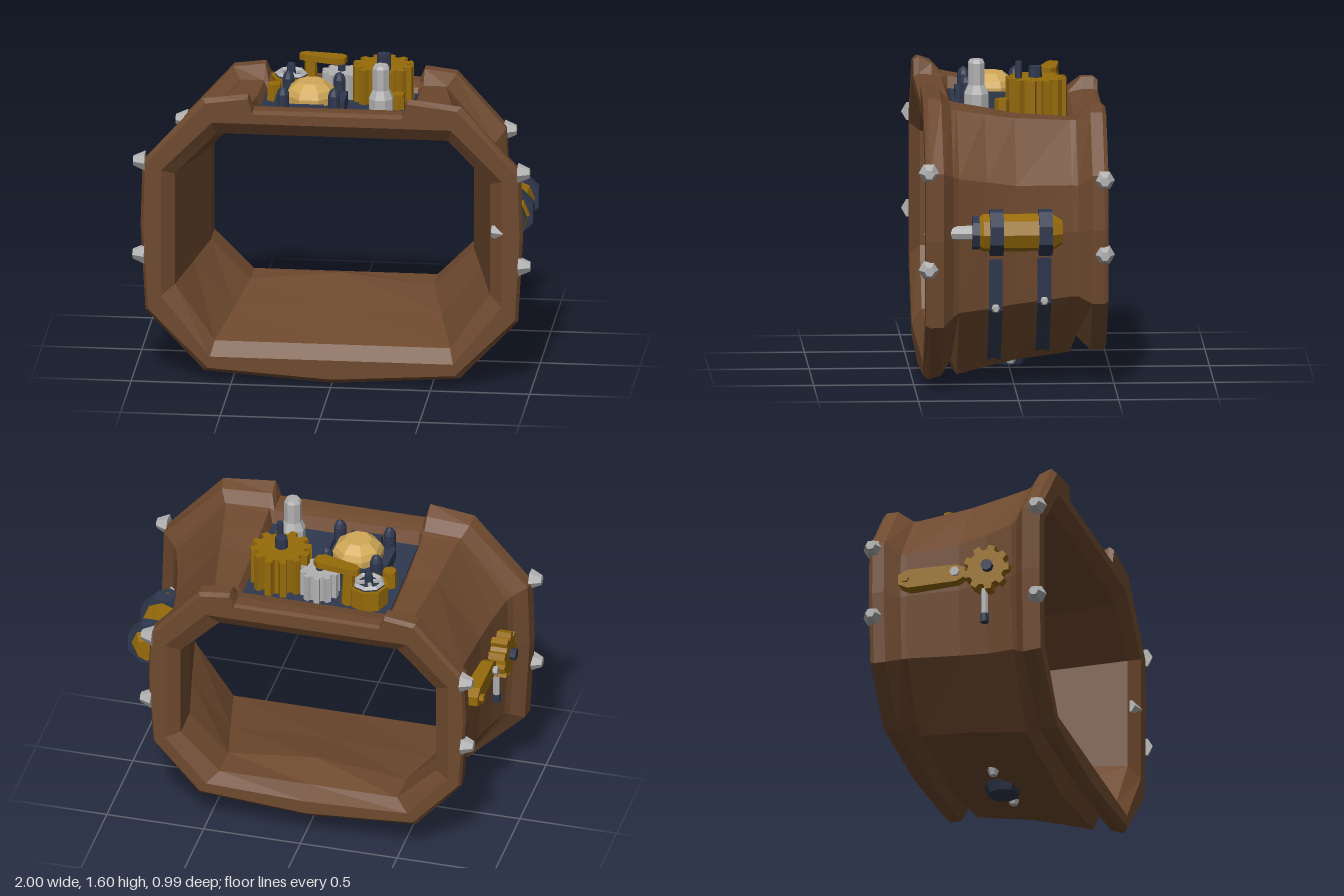
import * as THREE from 'three';

const mat = (name, color) => {
  const m = new THREE.MeshStandardMaterial({ color, flatShading: true });
  m.name = name;
  return m;
};

// Outer shell sections: z, cx, half width, top corner x, notch lip y, top corner y, notch floor y,
// upper side y, lower side y, bottom corner x, bottom corner y, bottom centre y
const OUTER = [
  [0.46, 0, 0.935, 0.63, 1.49, 1.46, 1.41, 1.13, 0.37, 0.62, 0.07, 0.03],
  [0.435, 0, 0.95, 0.65, 1.51, 1.48, 1.425, 1.14, 0.36, 0.64, 0.05, 0.005],
  [0.37, 0, 0.94, 0.64, 1.475, 1.46, 1.42, 1.14, 0.36, 0.63, 0.07, 0.05],
  [0.32, 0, 0.875, 0.61, 1.42, 1.41, 1.41, 1.11, 0.4, 0.59, 0.14, 0.12],
  [0.29, 0, 0.855, 0.6, 1.41, 1.405, 1.338, 1.1, 0.42, 0.6, 0.07, 0.002],
  [0.15, -0.005, 0.815, 0.58, 1.385, 1.38, 1.325, 1.075, 0.43, 0.57, 0.1, 0.03],
  [0, -0.01, 0.785, 0.56, 1.355, 1.355, 1.312, 1.05, 0.45, 0.54, 0.13, 0.06],
  [-0.28, -0.02, 0.755, 0.52, 1.335, 1.335, 1.29, 1.045, 0.48, 0.5, 0.16, 0.1],
  [-0.31, -0.02, 0.755, 0.52, 1.335, 1.335, 1.325, 1.04, 0.48, 0.5, 0.24, 0.22],
  [-0.38, -0.02, 0.81, 0.56, 1.4, 1.38, 1.34, 1.1, 0.45, 0.56, 0.18, 0.14],
  [-0.44, -0.02, 0.81, 0.56, 1.4, 1.38, 1.34, 1.1, 0.45, 0.56, 0.18, 0.14],
  [-0.46, -0.02, 0.8, 0.55, 1.385, 1.365, 1.33, 1.09, 0.46, 0.55, 0.2, 0.16],
];
// Inner sections, back to front, same columns
const INNER = [
  [-0.46, -0.02, 0.73, 0.52, 1.26, 1.26, 1.26, 1.04, 0.49, 0.52, 0.25, 0.23],
  [-0.42, -0.02, 0.66, 0.46, 1.2, 1.2, 1.2, 1.0, 0.51, 0.46, 0.31, 0.31],
  [-0.25, -0.02, 0.66, 0.46, 1.2, 1.2, 1.2, 1.0, 0.51, 0.46, 0.31, 0.36],
  [0.05, -0.01, 0.72, 0.52, 1.24, 1.24, 1.24, 1.03, 0.5, 0.52, 0.26, 0.28],
  [0.41, 0, 0.79, 0.58, 1.29, 1.29, 1.29, 1.07, 0.49, 0.59, 0.2, 0.2],
  [0.46, 0, 0.855, 0.6, 1.36, 1.36, 1.36, 1.1, 0.44, 0.61, 0.13, 0.13],
];

// One clockwise loop of 15 points; bulge pushes the side middle out and tucks its foot in
function sectionLoop([z, cx, w, xt, lip, yt, notch, yu, yl, xb, yb, y0], bulge) {
  const half = [[0.375, notch], [0.4, lip], [xt, yt], [w, yu], [w + bulge, (yu + yl) / 2 + 0.05], [w - bulge * 1.5, yl], [xb, yb]];
  const c = (i) => (i < 2 ? -0.02 : cx);
  const right = half.map(([x, y], i) => [c(i) + x, y, z]);
  const left = half.map(([x, y], i) => [c(i) - x, y, z]).reverse();
  return [...right, [cx, y0, z], ...left];
}

function shellGeometry() {
  const rows = [...OUTER.map((s) => sectionLoop(s, 0.01)), ...INNER.map((s) => sectionLoop(s, 0))];
  const n = rows[0].length, index = [];
  rows.forEach((_, i) => {
    const k = (i + 1) % rows.length;
    for (let j = 0; j < n; j++) {
      const l = (j + 1) % n;
      index.push(i * n + j, i * n + l, k * n + j, i * n + l, k * n + l, k * n + j);
    }
  });
  const g = new THREE.BufferGeometry();
  g.setAttribute('position', new THREE.Float32BufferAttribute(rows.flat(2), 3));
  g.setIndex(index);
  g.computeVertexNormals();
  return g;
}

// Body measurements at any z
function bodyAt(z) {
  const i = OUTER.findIndex((s) => s[0] <= z), a = OUTER[i - 1], b = OUTER[i];
  const t = (z - a[0]) / (b[0] - a[0]);
  return a.map((v, k) => v + (b[k] - v) * t);
}

// Toothed wheel rising along +y
function gearGeometry(r, teeth, depth) {
  const s = new THREE.Shape();
  for (let i = 0; i < teeth; i++) {
    [[0, 0.79], [0.3, 0.79], [0.42, 1], [0.83, 1], [0.95, 0.79]].forEach(([f, q], k) => {
      const a = ((i + f) / teeth) * Math.PI * 2;
      s[i + k ? 'lineTo' : 'moveTo'](Math.cos(a) * r * q, Math.sin(a) * r * q);
    });
  }
  s.closePath();
  return new THREE.ExtrudeGeometry(s, { depth, bevelEnabled: false }).rotateX(-Math.PI / 2);
}

// Tapered lever from the origin along +x, rising along +y
function leverGeometry(len, w0, w1, depth) {
  const pts = [[0, -w0 / 2], [len * 0.85, -w1 / 2], [len, -w1 / 4], [len, w1 / 4], [len * 0.85, w1 / 2], [0, w0 / 2], [-w0 / 2, w0 / 4], [-w0 / 2, -w0 / 4]];
  const s = new THREE.Shape(pts.map((p) => new THREE.Vector2(...p)));
  return new THREE.ExtrudeGeometry(s, { depth, bevelEnabled: false }).rotateX(-Math.PI / 2);
}

const lathe = (pts) => new THREE.LatheGeometry(pts.map((p) => new THREE.Vector2(...p)), 8).rotateY(Math.PI / 8);

export function createModel() {
  const brown = mat('leatherBrown', 0x6e492e), navy = mat('darkSteel', 0x2e374d);
  const gold = mat('brass', 0x966b0a), silver = mat('silver', 0xb2b2b2), tan = mat('paleGold', 0xd0a858);
  const model = new THREE.Group();
  const add = (name, geo, m, x = 0, y = 0, z = 0, parent = model) => {
    const mesh = new THREE.Mesh(geo, m);
    mesh.name = name;
    mesh.position.set(x, y, z);
    parent.add(mesh);
    return mesh;
  };
  const cyl = (rt, rb, h, n = 8) => new THREE.CylinderGeometry(rt, rb, h, n);
  const group = (name, x, y, z) => {
    const g = new THREE.Group();
    g.name = name;
    g.position.set(x, y, z);
    model.add(g);
    return g;
  };

  add('cuffShell', shellGeometry(), brown);
  add('topPlate', new THREE.BoxGeometry(0.755, 0.012, 0.575), navy, -0.02, 1.32, 0.003).rotation.x = -0.085;

  // Rim studs
  const stud = cyl(0.025, 0.052, 0.06, 6).rotateZ(-Math.PI / 2);
  for (const s of [-1, 1]) {
    for (const [x, y, z, cx] of [[0.965, 1.145, 0.445, 0], [0.968, 0.655, 0.445, 0], [0.825, 1.075, -0.44, -0.02], [0.83, 0.7, -0.44, -0.02]]) {
      add('rimStud', stud, silver, cx + s * x, y, z).rotation.y = s < 0 ? Math.PI : 0;
    }
  }
  add('innerRimStud', cyl(0.055, 0.035, 0.06, 6).rotateZ(-Math.PI / 2), silver, 0.83, 0.825, 0.41);

  // Domed lamp with four claws
  const lamp = group('domeLamp', -0.14, 1.325, 0.09);
  add('lampBase', cyl(0.165, 0.175, 0.05).rotateY(Math.PI / 8), navy, 0, 0.025, 0, lamp);
  add('dome', lathe([[0.13, 0], [0.13, 0.085], [0.115, 0.115], [0.068, 0.152], [0, 0.152]]), tan, 0, 0, 0, lamp);
  for (const sx of [-1, 1]) for (const sz of [-1, 1]) {
    const claw = lathe([[0.032, 0], [0.032, 0.12], [0.022, 0.145], [0, 0.16]]);
    add('claw', claw, navy, sx * 0.128, 0, sz * 0.128, lamp);
  }
  for (let i = 0; i < 4; i++) {
    const a = (i * Math.PI) / 2;
    add('baseBar', new THREE.BoxGeometry(0.03, 0.075, 0.16), navy, Math.cos(a) * 0.16, 0.037, Math.sin(a) * 0.16, lamp).rotation.y = -a;
  }

  // Large top gear
  add('largeGear', gearGeometry(0.153, 12, 0.205), gold, 0.2, 1.3, -0.125);
  add('gearHub', cyl(0.032, 0.034, 0.06), navy, 0.2, 1.53, -0.12);
  add('gearPin', cyl(0.018, 0.018, 0.28, 6), navy, 0.23, 1.45, -0.035);

  // Small gear, lever and spoked wheel
  add('smallGear', gearGeometry(0.1, 10, 0.155), silver, -0.015, 1.29, -0.18);
  add('smallGearHub', cyl(0.02, 0.02, 0.18, 6), navy, -0.015, 1.385, -0.18);
  add('topLever', leverGeometry(0.21, 0.06, 0.09, 0.032), gold, -0.2, 1.483, -0.225).rotation.y = -0.2;
  add('leverPost', cyl(0.03, 0.04, 0.19), gold, -0.175, 1.39, -0.222);
  const wheel = group('spokedWheel', -0.27, 1.3, -0.19);
  add('wheelHousing', cyl(0.1, 0.1, 0.11), gold, 0, 0.055, 0, wheel);
  add('wheelWell', cyl(0.082, 0.082, 0.006), navy, 0, 0.112, 0, wheel);
  add('wheelRing', new THREE.TorusGeometry(0.068, 0.014, 4, 8).rotateX(Math.PI / 2), silver, 0, 0.118, 0, wheel);
  for (const a of [0.4, 0.4 + Math.PI / 2]) {
    add('spoke', new THREE.BoxGeometry(0.13, 0.02, 0.018), silver, 0, 0.118, 0, wheel).rotation.y = a;
  }
  add('wheelHub', cyl(0.02, 0.025, 0.07), navy, 0, 0.135, 0, wheel);

  // Hex bolts and silver valve
  for (const [x, z] of [[-0.34, -0.05], [0.29, 0.05]]) add('hexBolt', cyl(0.036, 0.04, 0.09, 6), gold, x, 1.365, z);
  add('valve', lathe([[0.064, 0], [0.064, 0.095], [0.044, 0.14], [0.044, 0.25], [0.034, 0.267], [0, 0.267]]), silver, 0.22, 1.333, 0.175);

  // Side canister, built along z
  const can = group('canister', 0.868, 0.83, 0);
  const ring = (name, r0, r1, z0, z1, m) =>
    add(name, cyl(r1, r0, z1 - z0).rotateX(Math.PI / 2), m, 0, 0, (z0 + z1) / 2, can);
  ring('canisterBody', 0.095, 0.095, -0.17, 0.17, gold);
  ring('canisterEnd', 0.06, 0.095, -0.225, -0.17, gold);
  ring('canisterShoulder', 0.095, 0.075, 0.17, 0.2, gold);
  ring('canisterCap', 0.085, 0.085, 0.19, 0.225, navy);
  ring('canisterNozzle', 0.037, 0.035, 0.22, 0.345, silver);
  for (const z of [0.105, -0.14]) {
    add('canisterBand', cyl(0.12, 0.12, 0.068).rotateX(Math.PI / 2).rotateZ(Math.PI / 8), navy, 0, 0, z, can);
  }

  // Channelled straps running down the side and under the corner
  for (const z of [0.105, -0.14]) {
    const b = bodyAt(z), xl = b[1] + b[2] - 0.015, yl = b[8], xb = b[1] + b[9], yb = b[10];
    const f = 0.84, pts = [[xl + 0.022, 0.68], [xl + 0.008, yl], [xl + (xb - xl) * f, yl + (yb - yl) * f]];
    for (let i = 0; i < 2; i++) {
      const [x0, y0] = pts[i], [x1, y1] = pts[i + 1], len = Math.hypot(x1 - x0, y1 - y0) + 0.01;
      const angle = Math.atan2(x1 - x0, y0 - y1);
      for (const [w, t, dz] of [[0.066, 0.026, 0], [0.016, 0.042, -0.026], [0.016, 0.042, 0.026]]) {
        add('strap', new THREE.BoxGeometry(t, len, w), navy, (x0 + x1) / 2, (y0 + y1) / 2, z + dz).rotation.z = angle;
      }
    }
    add('strapRivet', cyl(0.014, 0.026, 0.035, 6).rotateZ(-Math.PI / 2), silver, xl + 0.032, yl, z);
  }

  // Gear, lever and rod on the other side
  const left = group('leftMechanism', -0.82, 0.86, 0);
  add('sideGear', gearGeometry(0.12, 9, 0.085).rotateZ(Math.PI / 2), gold, 0, 0, 0.17, left);
  add('sideGearHub', cyl(0.03, 0.03, 0.13).rotateZ(Math.PI / 2), navy, -0.05, 0, 0.18, left);
  const lever = leverGeometry(0.3, 0.1, 0.09, 0.085).rotateZ(Math.PI / 2).rotateX(Math.PI / 2);
  add('sideLever', lever.center(), gold, 0, 0.01, -0.125, left);
  for (const [z, m] of [[-0.26, gold], [0, silver]]) {
    add('leverRivet', cyl(0.026, 0.018, 0.03, 6).rotateZ(Math.PI / 2), m, -0.052, 0.01, z, left);
  }
  add('sideRod', cyl(0.018, 0.018, 0.18, 6), silver, -0.02, -0.15, 0.145, left);
  add('sideRodTip', cyl(0.022, 0.022, 0.045, 6), navy, -0.02, -0.25, 0.145, left);

  // Underside boss and studs
  add('bottomBoss', cyl(0.098, 0.078, 0.05), navy, -0.01, 0.05, 0);
  for (const s of [-1, 1]) add('bottomStud', cyl(0.035, 0.02, 0.04, 6), silver, -0.01 + s * 0.18, 0.073, 0);
  return model;
}
